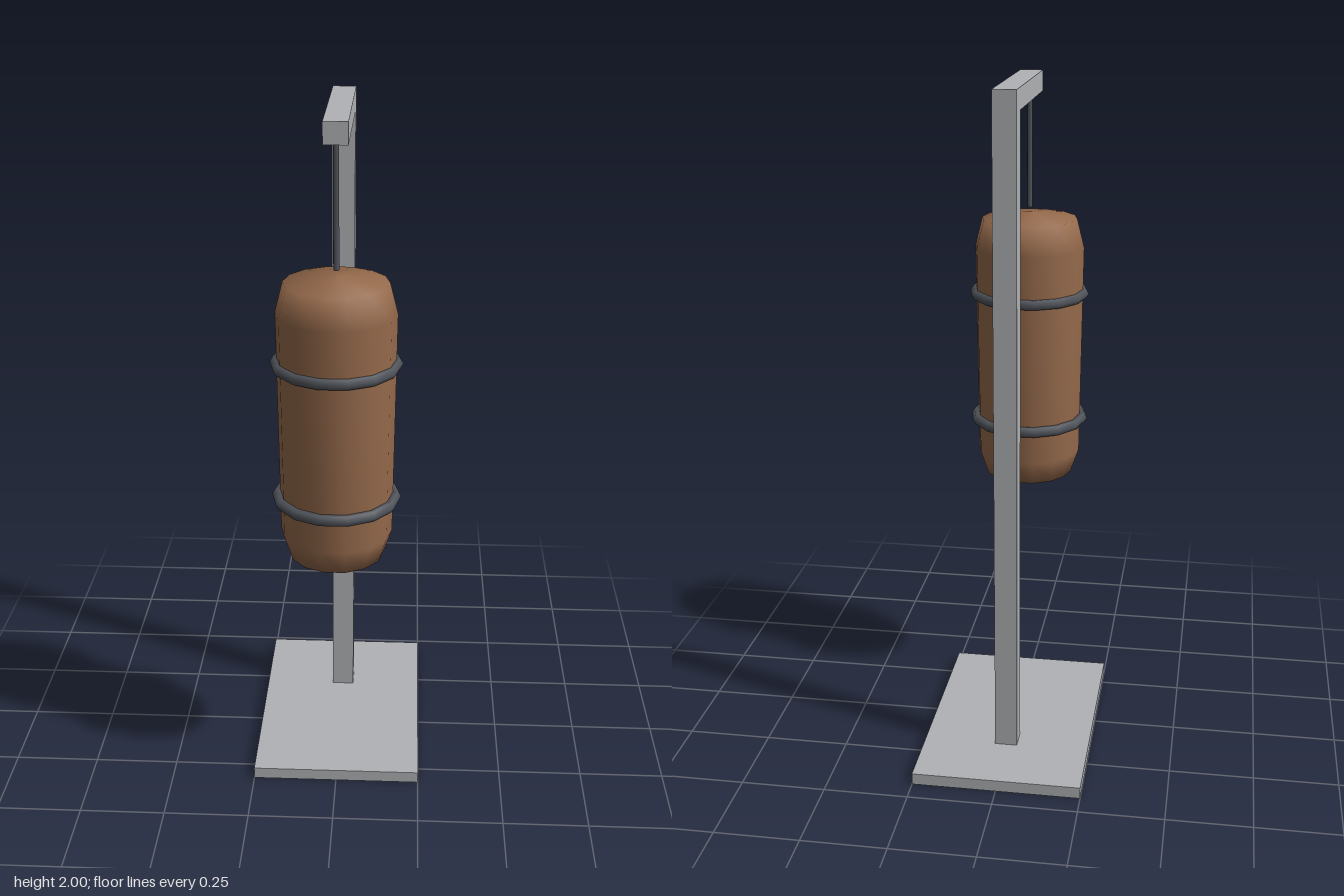
import * as THREE from 'three';

export function createModel() {
  const model = new THREE.Group();
  const material = (name, color) => {
    const m = new THREE.MeshStandardMaterial({ color });
    m.name = name;
    return m;
  };
  const steel = material('pale grey steel', 0xb0b2b5);
  const leather = material('brown leather', 0x94694b);
  const iron = material('dark iron', 0x50545b);

  const add = (name, geometry, mat, x, y, z, parent = model) => {
    const mesh = new THREE.Mesh(geometry, mat);
    mesh.name = name;
    mesh.position.set(x, y, z);
    parent.add(mesh);
    return mesh;
  };
  // Box given by its width and its y and z ranges
  const beam = (name, w, y0, y1, z0, z1) =>
    add(name, new THREE.BoxGeometry(w, y1 - y0, z1 - z0), steel, 0, (y0 + y1) / 2, (z0 + z1) / 2);

  // Stand
  beam('base', 0.5, 0, 0.035, -0.433, 0.317);
  beam('post', 0.067, 0.035, 1.94, -0.233, -0.166);
  beam('arm', 0.067, 1.94, 2, -0.233, 0.283);

  // Hanging bag, its cable and two hoops
  const hanging = new THREE.Group();
  hanging.name = 'hangingBag';
  hanging.position.z = 0.25;
  model.add(hanging);

  const sides = 14;
  const profile = [
    [0, 0.74], [0.135, 0.757], [0.159, 0.83],
    [0.167, 1.48], [0.145, 1.567], [0, 1.585],
  ].map(([r, y]) => new THREE.Vector2(r, y));
  const bag = new THREE.LatheGeometry(profile, sides).rotateY(Math.PI / 2);
  add('bag', bag, leather, 0, 0, 0, hanging);

  add('cable', new THREE.CylinderGeometry(0.008, 0.008, 0.34, 8), iron, 0, 1.77, 0, hanging);

  const hoop = new THREE.TorusGeometry(0.167, 0.0165, 6, sides).rotateX(Math.PI / 2);
  add('upperHoop', hoop, iron, 0, 1.338, 0, hanging);
  add('lowerHoop', hoop, iron, 0, 0.937, 0, hanging);

  return model;
}
